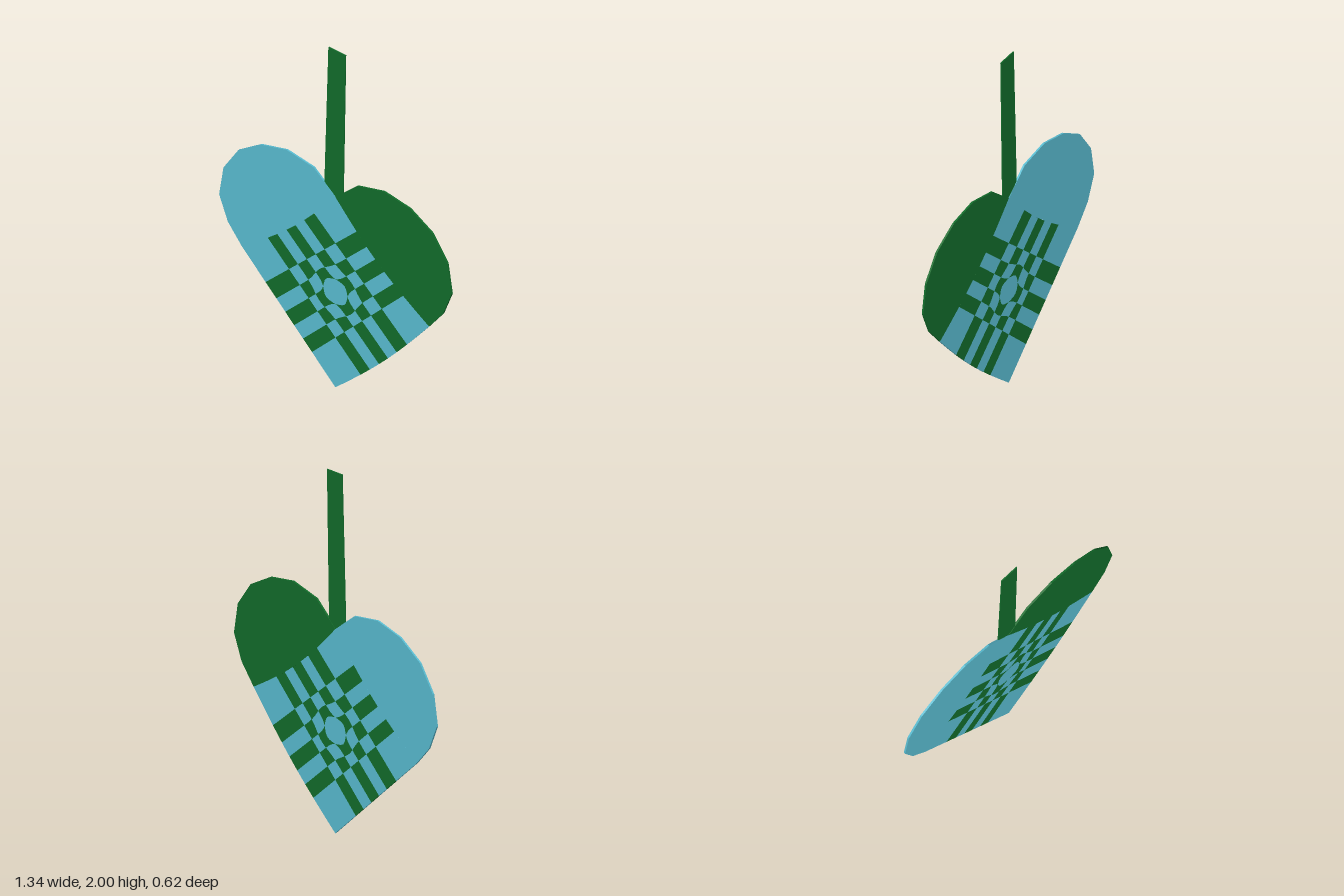
import * as THREE from 'three';

const TURN = Math.atan2(0.305, 0.67); // the flat heart is turned about the vertical
const WIDEN = 1 / Math.cos(TURN);
const DEPTH = 0.01;
const STRIPS = [0, 0.25, 0.345, 0.44, 0.535, 0.63, 0.745, 1]; // strip borders across the weave
const MID = 0.4875;

// Border k of the strips, bulging around the centre of the weave
function border(k, v, dips) {
  const bump = (w) => Math.exp(-(((v - MID) / w) ** 2));
  if (k === 0) return dips ? -0.026 * Math.sin(Math.PI * v) : 0;
  if (k === 7) return 1 - 0.04 * Math.sin(Math.PI * v);
  if (k === 3 || k === 4) return STRIPS[k] + (k === 3 ? -1 : 1) * 0.05 * bump(0.065);
  if (k === 2 || k === 5) return STRIPS[k] + (k === 2 ? -1 : 1) * 0.025 * bump(0.09);
  return STRIPS[k];
}
const borderS = (i, t) => border(i, t, false);
const borderT = (j, s) => border(j, s, true);

// Weave coordinates (s to the right corner, t to the left one) to the plane of the heart
const place = (s, t) =>
  new THREE.Vector2(0.54 * (s - t) * WIDEN, 0.6 * (s + t) - 0.07 * s * t);

// Where border i of one set crosses border j of the other
function crossing(i, j) {
  let s = STRIPS[i], t = STRIPS[j];
  for (let n = 0; n < 40; n++) {
    s = borderS(i, t);
    t = borderT(j, s);
  }
  return [s, t];
}

// One woven cell with curved sides
function cell(i, j) {
  const corners = [[i, j], [i + 1, j], [i + 1, j + 1], [i, j + 1]];
  const points = [];
  const steps = 6;
  corners.forEach(([a, b], n) => {
    const [c, d] = corners[(n + 1) % 4];
    const [s0, t0] = crossing(a, b);
    const [s1, t1] = crossing(c, d);
    for (let k = 0; k < steps; k++) {
      const s = THREE.MathUtils.lerp(s0, s1, k / steps);
      const t = THREE.MathUtils.lerp(t0, t1, k / steps);
      points.push(b === d ? place(s, borderT(b, s)) : place(borderS(a, t), t));
    }
  });
  return new THREE.Shape(points);
}

// Rounded lobe above the weave; side is +1 for the left, -1 for the right
function lobe(side) {
  const outline = [
    [0.62, 0.71], [0.67, 0.85], [0.645, 1.02], [0.56, 1.16],
    [0.43, 1.25], [0.28, 1.285], [0.125, 1.25],
  ].map(([x, y]) => new THREE.Vector2(x * side * WIDEN, y));
  for (let k = 12; k >= 0; k--) {
    const v = k / 12;
    outline.push(side > 0 ? place(borderS(7, v), v) : place(v, borderT(7, v)));
  }
  return new THREE.Shape(outline);
}

export function createModel() {
  const green = new THREE.MeshStandardMaterial({ color: 0x126d2b });
  const blue = new THREE.MeshStandardMaterial({ color: 0x5abdd2 });
  const model = new THREE.Group();
  model.name = 'wovenHeart';

  const add = (name, shapes, material, depth = DEPTH) => {
    const geometry = new THREE.ExtrudeGeometry(shapes, { depth, bevelEnabled: false });
    geometry.translate(0, 0, -depth / 2);
    const mesh = new THREE.Mesh(geometry, material);
    mesh.name = name;
    model.add(mesh);
  };

  // Checkered weave
  const cells = [[], []];
  for (let i = 0; i < 7; i++) {
    for (let j = 0; j < 7; j++) cells[(i + j) % 2].push(cell(i, j));
  }
  add('blueWeave', cells[0], blue);
  add('greenWeave', cells[1], green);

  // Lobes
  add('greenLobe', lobe(1), green);
  add('blueLobe', lobe(-1), blue);

  // Handle, tucked between the layers at its lower end
  const handle = [[-0.068, 1.08], [0.042, 1.08], [0.057, 1.993], [-0.042, 2]];
  add('handle', new THREE.Shape(
    handle.map(([x, y]) => new THREE.Vector2(x * WIDEN, y))), green, 0.006);

  model.rotation.y = -TURN;
  const root = new THREE.Group();
  root.add(model);
  return root;
}
